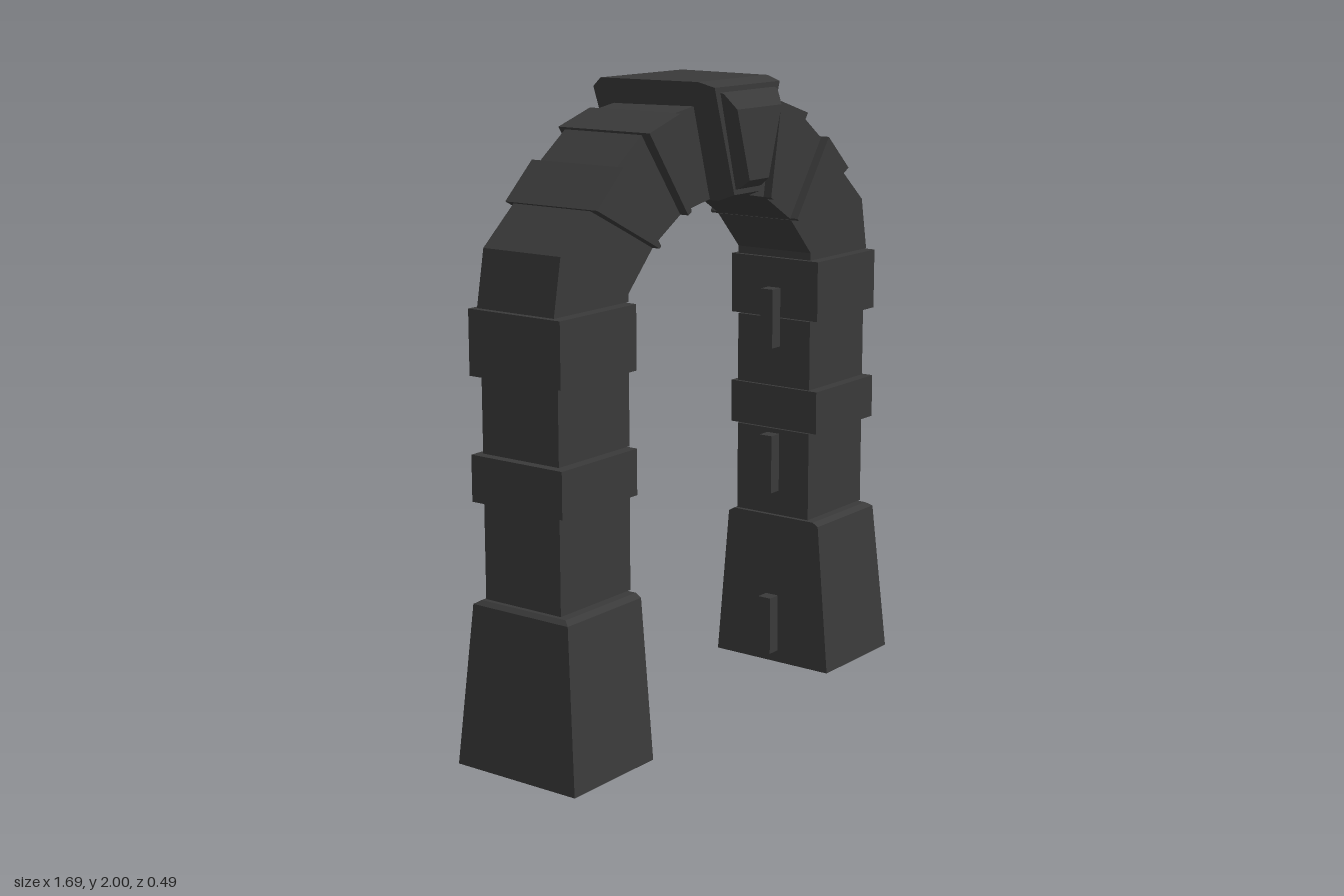
import * as THREE from 'three';
import { ConvexGeometry } from 'three/addons/geometries/ConvexGeometry.js';

const stone = new THREE.MeshStandardMaterial({ color: 0x3a3a3a, flatShading: true });
const NARROW = [-0.165, 0.12]; // back and front z of the plain stones
const WIDE = [-0.192, 0.148]; // back and front z of the projecting stones

function add(group, name, geometry) {
  const mesh = new THREE.Mesh(geometry, stone);
  mesh.name = name;
  group.add(mesh);
}

// Box given by its limits
function block(x0, x1, y0, y1, [z0, z1]) {
  return new THREE.BoxGeometry(Math.abs(x1 - x0), y1 - y0, z1 - z0)
    .translate((x0 + x1) / 2, (y0 + y1) / 2, (z0 + z1) / 2);
}

// Front outline pushed through from z0 to z1, mirrored by side
function slab(points, [z0, z1], side) {
  const shape = new THREE.Shape(points.map(([x, y]) => new THREE.Vector2(x * side, y)));
  return new THREE.ExtrudeGeometry(shape, { depth: z1 - z0, bevelEnabled: false }).translate(0, 0, z0);
}

// Convex solid through upright trapezoids: [z, top half width, bottom half width, top y, bottom y]
function trapezoids(sections) {
  return new ConvexGeometry(sections.flatMap(([z, top, bottom, y1, y0]) => [
    new THREE.Vector3(-top, y1, z), new THREE.Vector3(top, y1, z),
    new THREE.Vector3(-bottom, y0, z), new THREE.Vector3(bottom, y0, z),
  ]));
}

function createHalf(side) {
  const half = new THREE.Group();
  half.name = side > 0 ? 'leftHalf' : 'rightHalf';

  // Tapered plinth with a chamfered top: [y, outer x, back z, front z]
  const plinth = [[0, 0.845, -0.245, 0.203], [0.5, 0.815, -0.2, 0.16], [0.512, 0.8, -0.18, 0.14]];
  add(half, 'plinth', new ConvexGeometry(plinth.flatMap(([y, x, z0, z1]) =>
    [[0.475, z0], [0.475, z1], [x, z0], [x, z1]].map(([px, z]) => new THREE.Vector3(px * side, y, z)))));

  // Pillar stones and projecting bands, with hairline joints
  for (const [y0, y1] of [[0.517, 0.81], [0.957, 1.184]])
    add(half, 'pillarStone', block(0.475 * side, 0.797 * side, y0, y1, NARROW));
  for (const [y0, y1] of [[0.813, 0.954], [1.187, 1.383]])
    add(half, 'pillarBand', block(0.475 * side, 0.818 * side, y0, y1, WIDE));

  // Small blocks on the inner face
  for (const y of [0.04, 0.6, 1.09])
    add(half, 'innerTab', block(0.43 * side, 0.48 * side, y, y + 0.195, [-0.045, 0.003]));

  // Arch stones, alternating plain and projecting
  add(half, 'springer', slab([[0.475, 1.386], [0.81, 1.386], [0.778, 1.555], [0.645, 1.668],
    [0.36, 1.53], [0.475, 1.41]], NARROW, side));
  add(half, 'lowerWedge', slab([[0.65, 1.672], [0.53, 1.782], [0.355, 1.537], [0.362, 1.53]], WIDE, side));
  add(half, 'archStone', slab([[0.527, 1.778], [0.41, 1.862], [0.225, 1.612], [0.355, 1.535]], NARROW, side));
  add(half, 'upperWedge', slab([[0.408, 1.868], [0.26, 1.914], [0.207, 1.62], [0.223, 1.612]], WIDE, side));
  add(half, 'crownStone', slab([[0.258, 1.912], [0.1, 1.935], [0.05, 1.648], [0.206, 1.62]], NARROW, side));
  return half;
}

export function createModel() {
  const arch = new THREE.Group();
  arch.name = 'archway';
  arch.add(createHalf(1), createHalf(-1));

  // Keystone with chamfered back and front
  add(arch, 'keystone', trapezoids([
    [-0.247, 0.175, 0.06, 1.97, 1.665],
    [-0.195, 0.205, 0.08, 2, 1.64],
    [0.15, 0.178, 0.075, 2, 1.64],
    [0.203, 0.168, 0.067, 1.985, 1.66],
  ]));
  // Raised bevelled panel on the keystone
  add(arch, 'keystonePanel', trapezoids([
    [0.2, 0.14, 0.06, 1.97, 1.675],
    [0.215, 0.138, 0.058, 1.965, 1.68],
    [0.247, 0.115, 0.05, 1.92, 1.705],
  ]));
  return arch;
}
